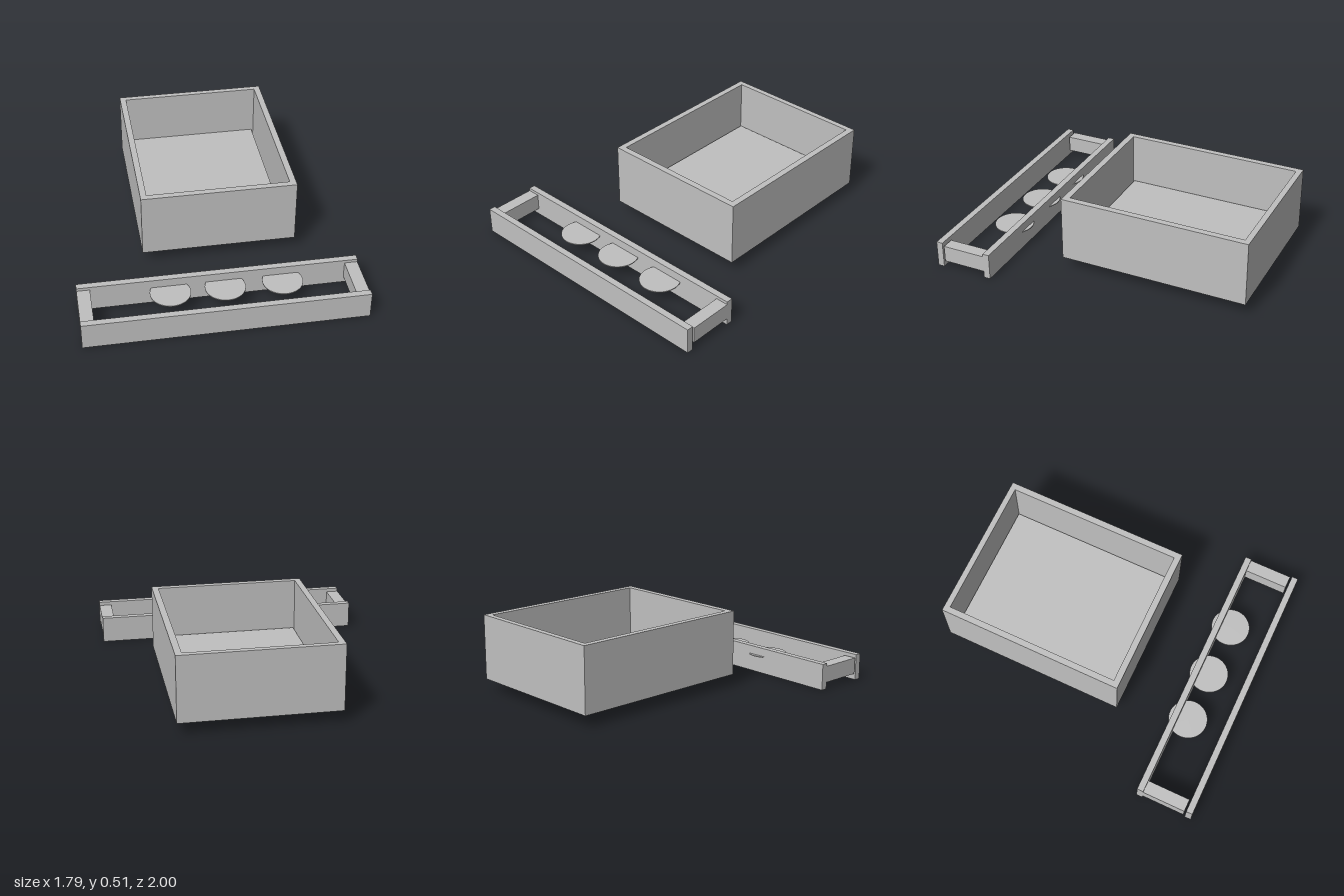
import * as THREE from 'three';

export function createModel() {
  const model = new THREE.Group();
  const grey = new THREE.MeshStandardMaterial({ color: 0xc0c0c0 });
  grey.name = 'plain grey';

  const add = (name, geometry, parent) => {
    const mesh = new THREE.Mesh(geometry, grey);
    mesh.name = name;
    parent.add(mesh);
    return mesh;
  };
  // Box given by its extents on each axis
  const block = (name, [x0, x1], [y0, y1], [z0, z1], parent) =>
    add(name, new THREE.BoxGeometry(x1 - x0, y1 - y0, z1 - z0), parent)
      .position.set((x0 + x1) / 2, (y0 + y1) / 2, (z0 + z1) / 2);
  // Rectangle in plan; z is negated because the extrusion is laid flat
  const rectangle = (path, x0, x1, z0, z1) => {
    path.moveTo(x0, -z1);
    path.lineTo(x1, -z1);
    path.lineTo(x1, -z0);
    path.lineTo(x0, -z0);
    path.closePath();
    return path;
  };

  // Drawer: four walls as one frame, with a loose recessed floor
  const drawer = new THREE.Group();
  drawer.name = 'drawer';
  model.add(drawer);
  const frame = rectangle(new THREE.Shape(), -0.435, 0.582, -1, 0.252);
  frame.holes.push(rectangle(new THREE.Path(), -0.394, 0.54, -0.962, 0.21));
  const walls = new THREE.ExtrudeGeometry(frame, { depth: 0.43, bevelEnabled: false });
  walls.rotateX(-Math.PI / 2).translate(0, 0.08, 0);
  add('drawerWalls', walls, drawer);
  block('drawerFloor', [-0.384, 0.525], [0.125, 0.172], [-0.953, 0.198], drawer);

  // Rack: two long rails, end blocks and three discs let into the back rail
  const rack = new THREE.Group();
  rack.name = 'rack';
  model.add(rack);
  block('frontRail', [-0.896, 0.896], [0, 0.175], [0.957, 1], rack);
  block('backRail', [-0.896, 0.896], [0, 0.175], [0.612, 0.655], rack);
  block('rightEndBlock', [-0.896, -0.812], [0.045, 0.155], [0.655, 0.945], rack);
  block('leftEndBlock', [0.812, 0.896], [0.045, 0.155], [0.655, 0.945], rack);
  for (const x of [-0.317, 0.03, 0.397]) {
    add('disc', new THREE.CylinderGeometry(0.129, 0.129, 0.006, 64), rack)
      .position.set(x, 0.116, 0.716);
  }
  return model;
}
